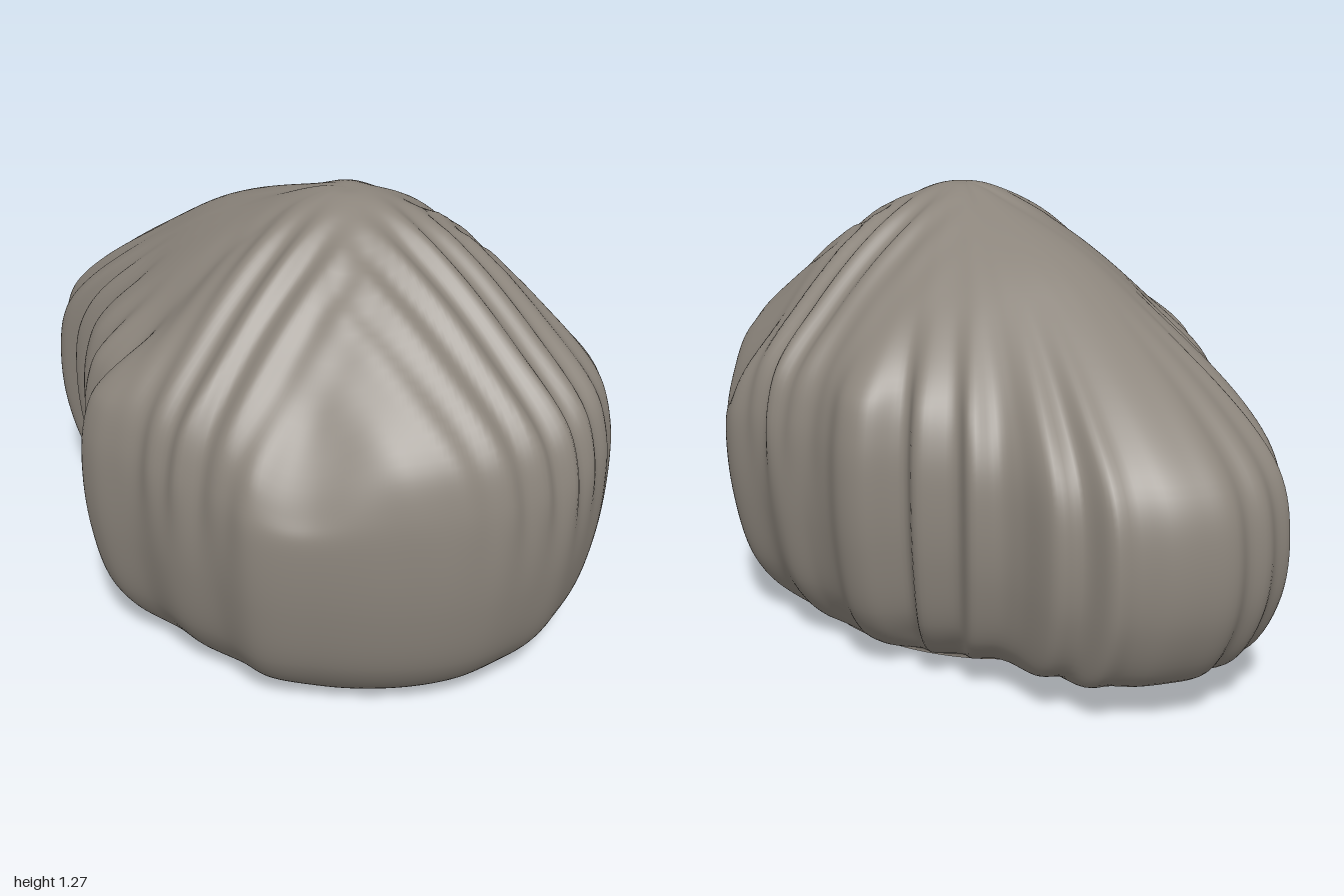
import * as THREE from 'three';

const CX = 0.22;      // apex position on x
const AROUND = 400, UP = 80;

// Widest outline seen from above [x, z], from the round end past the front folds to the tail and back
const OUTLINE = [
  [1, 0], [0.985, 0.1], [0.95, 0.24], [0.88, 0.36], [0.77, 0.48], [0.64, 0.58], [0.5, 0.665], [0.36, 0.665], [0.22, 0.69], [0.08, 0.68],
  [-0.06, 0.7], [-0.14, 0.67], [-0.15, 0.555], [-0.24, 0.54], [-0.31, 0.52], [-0.34, 0.44], [-0.43, 0.42], [-0.49, 0.36],
  [-0.5, 0.27], [-0.57, 0.28], [-0.66, 0.27], [-0.7, 0.21], [-0.82, 0.2], [-0.88, 0.15], [-0.9, 0.1], [-0.97, 0.06],
  [-0.975, 0], [-1, -0.06], [-0.985, -0.12], [-1, -0.18], [-0.97, -0.26], [-0.93, -0.33], [-0.87, -0.39], [-0.84, -0.44],
  [-0.74, -0.45], [-0.7, -0.5], [-0.57, -0.5], [-0.51, -0.515], [-0.46, -0.57], [-0.38, -0.55], [-0.3, -0.62], [-0.22, -0.59],
  [-0.15, -0.68], [-0.08, -0.7], [0.02, -0.67], [0.12, -0.67], [0.22, -0.695], [0.35, -0.665], [0.5, -0.67], [0.64, -0.59],
  [0.77, -0.49], [0.88, -0.37], [0.95, -0.24], [0.985, -0.1],
];
// Matching vertical profiles [fraction of outline, height]
const BODY = [[0.68, 0], [0.77, 0.04], [0.85, 0.1], [0.93, 0.2], [0.985, 0.38], [1, 0.55], [0.985, 0.69],
  [0.93, 0.81], [0.73, 0.97], [0.5, 1.11], [0.22, 1.235], [0.08, 1.272], [0, 1.275]];
const TAIL = [[0.47, 0], [0.59, 0.06], [0.76, 0.068], [0.9, 0.13], [0.985, 0.3], [1, 0.5], [0.965, 0.65],
  [0.84, 0.8], [0.6, 1.0], [0.42, 1.12], [0.16, 1.23], [0.05, 1.27], [0, 1.275]];

const curve = (pts, closed) =>
  new THREE.CatmullRomCurve3(pts.map(([a, b]) => new THREE.Vector3(a, b, 0)), closed, 'centripetal');
const { smoothstep: smooth, lerp } = THREE.MathUtils;
const bell = (x, width) => Math.exp(-((x / width) ** 2));

// Outline relative to the apex, plus a softened copy without folds
function makeOutlines() {
  const folded = curve(OUTLINE, true).getSpacedPoints(AROUND).slice(0, AROUND)
    .map((p) => [p.x - CX, p.y]);
  const reach = 18;
  const soft = folded.map((_, i) => {
    let x = 0, z = 0;
    for (let j = -reach; j <= reach; j++) {
      const p = folded[(i + j + AROUND) % AROUND];
      x += p[0] / (2 * reach + 1);
      z += p[1] / (2 * reach + 1);
    }
    return [x, z];
  });
  return { folded, soft };
}

// Pleats running down from the apex: lengthwise on the round end, crosswise at front and back
function pleats(x, z) {
  const end = smooth(x, 0.06, 0.3) * bell(z, 0.27) * Math.cos(z * 58 + 0.6);
  const sides = smooth(Math.abs(z), 0.06, 0.3) * bell(x - 0.04, 0.17) * Math.cos((x - 0.04) * 56);
  return 0.016 * (end + sides);
}

function makeShell() {
  const { folded, soft } = makeOutlines();
  const body = curve(BODY), tail = curve(TAIL);
  const position = [], index = [], rim = [];
  for (let k = 0; k <= UP; k++) {
    const t = k / UP;
    const b = body.getPoint(t), e = tail.getPoint(t);
    const foldAmount = smooth(t, 0, 0.2) * (1 - smooth(t, 0.56, 0.7));
    const foot = 1 - smooth(t, 0, 0.1);
    for (let i = 0; i < AROUND; i++) {
      const s = soft[i], o = folded[i];
      const w = smooth(Math.hypot(...s), 0.72, 1.14) * smooth(-s[0], 0.1, 0.5);
      const f = lerp(b.x, e.x, w);
      let x = lerp(s[0], o[0], foldAmount) * f;
      let z = lerp(s[1], o[1], foldAmount) * f;
      let y = lerp(b.y, e.y, w);
      // Pleats raise the top and fade out down the walls
      const p = pleats(x, z);
      y += p * smooth(t, 0.5, 0.6);
      const swell = 1 + p * bell(t - 0.52, 0.1);
      x *= swell;
      z *= swell;
      // Panels dip at the corners, and a valley parts the front panel from the tail's flap
      const angle = Math.atan2(s[1], s[0]);
      y -= 0.1 * bell(Math.abs(angle) - 1.0, 0.24) * bell(t - 0.57, 0.1);
      y -= 0.045 * bell(angle - 2.2, 0.2) * bell(t - 0.68, 0.1);
      // Elliptical foot
      x = lerp(x, -0.05 + 0.55 * Math.cos(angle), foot);
      z = lerp(z, 0.47 * Math.sin(angle), foot);
      position.push(x + CX, Math.max(0, y), z);
      if (k === 0) rim.push(new THREE.Vector2(x + CX, z));
      if (k < UP) {
        const a = k * AROUND + i, n = k * AROUND + (i + 1) % AROUND;
        index.push(a, a + AROUND, n, n, a + AROUND, n + AROUND);
      }
    }
  }
  const shell = new THREE.BufferGeometry();
  shell.setAttribute('position', new THREE.Float32BufferAttribute(position, 3));
  shell.setIndex(index);
  shell.computeVertexNormals();
  // Flat underside closing the lowest ring
  const base = new THREE.ShapeGeometry(new THREE.Shape(rim));
  base.rotateX(Math.PI / 2);
  return { shell, base };
}

export function createModel() {
  const group = new THREE.Group();
  group.name = 'pleatedRock';
  const stone = new THREE.MeshStandardMaterial({ color: 0x8c857c });
  stone.name = 'warm grey stone';
  for (const [name, geometry] of Object.entries(makeShell())) {
    const mesh = new THREE.Mesh(geometry, stone);
    mesh.name = name;
    group.add(mesh);
  }
  return group;
}
